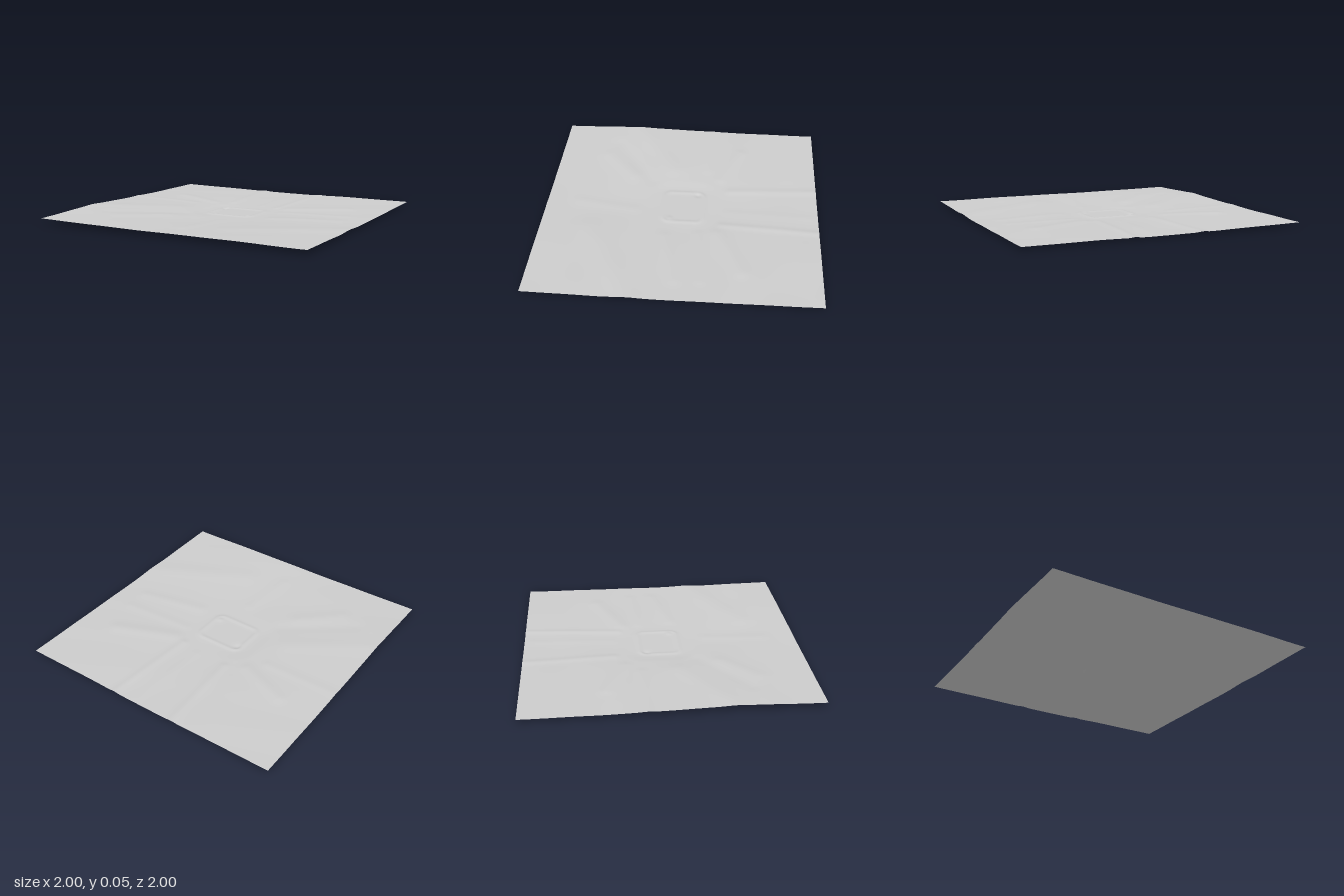
import * as THREE from 'three';

// Coarse heights: rows run back to front, columns from -x to +x
const COARSE = [
  [0.032, 0.026, 0.019, 0.026, 0.024],
  [0.036, 0.030, 0.017, 0.023, 0.024],
  [0.046, 0.034, 0.012, 0.018, 0.022],
  [0.057, 0.040, 0.020, 0.028, 0.027],
  [0.046, 0.042, 0.039, 0.040, 0.035],
];

// Soft ridges and gullies: x1, z1, x2, z2, width, height
const RIDGES = [
  [-1.0, 0.42, -0.45, 0.10, 0.09, 0.006],
  [-0.75, 0.55, -0.30, 0.25, 0.06, -0.004],
  [-1.0, -0.17, -0.45, -0.17, 0.04, 0.003],
  [-0.70, -0.42, -0.35, -0.28, 0.05, 0.005],
  [0.30, -0.28, 0.70, -0.45, 0.06, 0.006],
  [0.30, -0.14, 0.80, -0.18, 0.04, 0.003],
  [0.35, 0.10, 0.80, 0.00, 0.05, 0.004],
  [0.30, 0.65, 1.0, 0.30, 0.10, 0.006],
  [-0.35, 0.40, -0.60, 0.62, 0.06, 0.004],
  [0.05, 0.35, 0.00, 0.75, 0.05, 0.003],
  [-0.24, -1.0, -0.20, -0.35, 0.035, 0.005],
  [0.25, -1.0, 0.20, -0.30, 0.030, 0.005],
  [0.08, -0.95, 0.05, -0.35, 0.040, 0.002],
];

const gauss = (d, w) => Math.exp(-(d * d) / (w * w));

function spline(p, t) {
  const s = Math.min(Math.max(t, 0), 1) * (p.length - 1);
  const i = Math.min(Math.floor(s), p.length - 2);
  const f = s - i;
  const a = p[Math.max(i - 1, 0)], b = p[i], c = p[i + 1], d = p[Math.min(i + 2, p.length - 1)];
  return b + 0.5 * f * (c - a + f * (2 * a - 5 * b + 4 * c - d + f * (3 * (b - c) + d - a)));
}

function segmentDistance(x, z, [x1, z1, x2, z2]) {
  const dx = x2 - x1, dz = z2 - z1;
  const t = THREE.MathUtils.clamp(((x - x1) * dx + (z - z1) * dz) / (dx * dx + dz * dz), 0, 1);
  return Math.hypot(x - x1 - t * dx, z - z1 - t * dz);
}

// Signed distance to the rounded rectangle of the central plateau
function plateauDistance(x, z) {
  const r = 0.05;
  const qx = Math.abs(x) - 0.175 + r, qz = Math.abs(z + 0.013) - 0.145 + r;
  return Math.hypot(Math.max(qx, 0), Math.max(qz, 0)) + Math.min(Math.max(qx, qz), 0) - r;
}

function height(x, z) {
  let y = spline(COARSE.map(row => spline(row, (x + 1) / 2)), (z + 1) / 2);
  for (const r of RIDGES) y += r[5] * gauss(segmentDistance(x, z, r), r[4]);
  // gentle small undulation
  y += 0.0012 * Math.sin(9 * x + 4 * z) * Math.sin(11 * z - 3 * x);
  // levelled central ground with a thin raised rim
  const d = plateauDistance(x, z);
  y = THREE.MathUtils.lerp(0.014, y, THREE.MathUtils.smoothstep(d, 0, 0.14));
  y += 0.005 * gauss(d, 0.014);
  // small hollow and mound in opposite corners
  y -= 0.007 * gauss(Math.hypot(x + 0.15, z + 0.11), 0.022);
  y += 0.006 * gauss(Math.hypot(x - 0.14, z - 0.08), 0.022);
  return y;
}

export function createModel() {
  const group = new THREE.Group();
  group.name = 'terrain';

  const ground = new THREE.MeshStandardMaterial({ color: 0xcccccc, side: THREE.DoubleSide });
  ground.name = 'pale grey ground';

  // Square sheet lifted by the height rule
  const geometry = new THREE.PlaneGeometry(2, 2, 160, 160).rotateX(-Math.PI / 2);
  const p = geometry.attributes.position;
  for (let i = 0; i < p.count; i++) p.setY(i, height(p.getX(i), p.getZ(i)));
  geometry.computeBoundingBox();
  geometry.translate(0, -geometry.boundingBox.min.y, 0);
  geometry.computeVertexNormals();

  const sheet = new THREE.Mesh(geometry, ground);
  sheet.name = 'groundSurface';
  group.add(sheet);
  return group;
}
